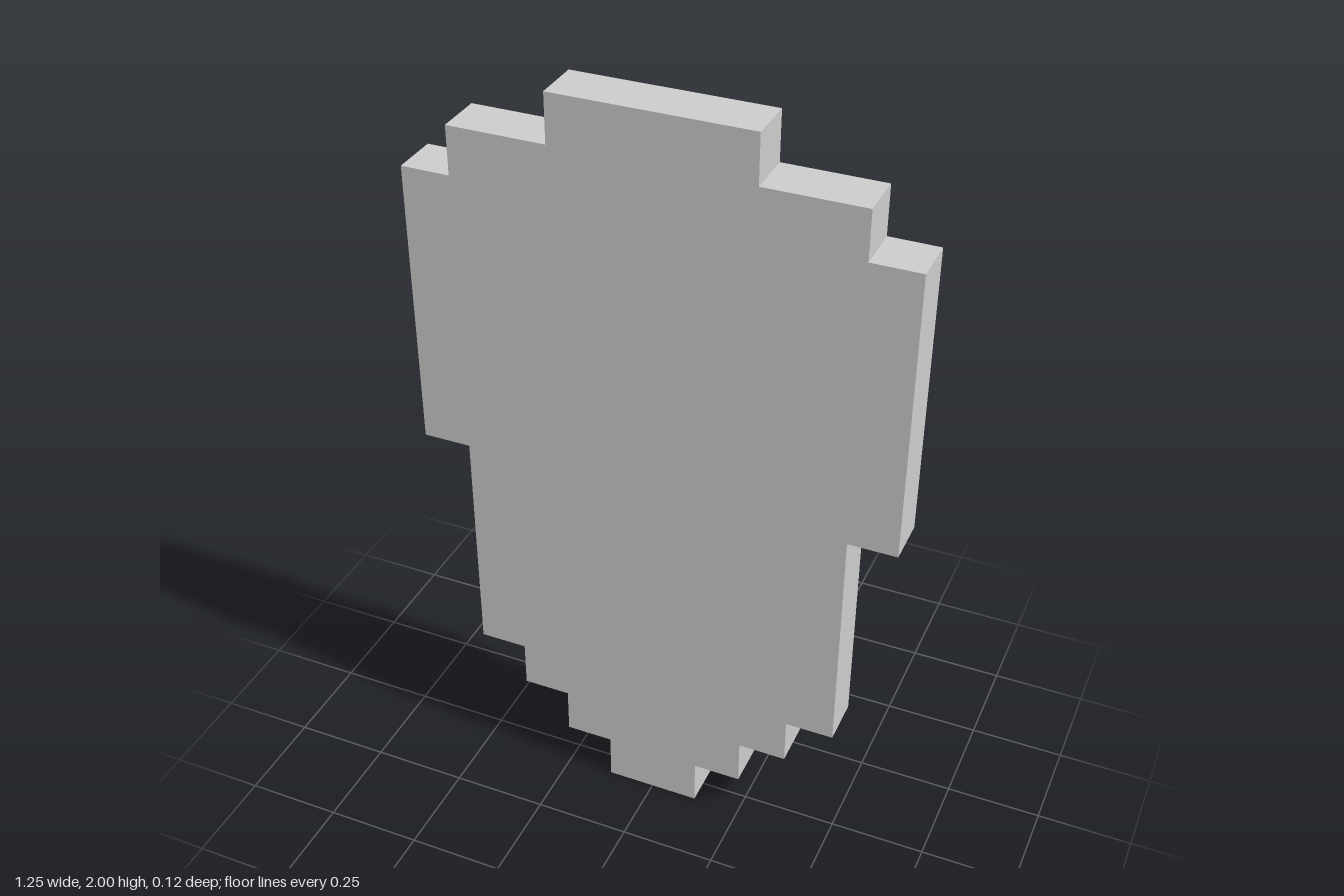
import * as THREE from 'three';

const UNIT = 0.125; // one step of the outline, also the thickness

// Tiers from bottom to top: [half width, top height] in units
const TIERS = [[1, 1], [2, 2], [3, 3], [4, 8], [5, 14], [4, 15], [2, 16]];

export function createModel() {
  const group = new THREE.Group();
  group.name = 'steppedPlate';

  // Right-hand stepped edge going up, then mirrored going down
  const edge = [];
  let bottom = 0;
  for (const [half, top] of TIERS) {
    edge.push([half, bottom], [half, top]);
    bottom = top;
  }
  const mirrored = edge.map(([x, y]) => [-x, y]).reverse();
  const outline = [...edge, ...mirrored].map(([x, y]) => new THREE.Vector2(x * UNIT, y * UNIT));

  // Flat slab with sharp edges, centred on z = 0
  const geometry = new THREE.ExtrudeGeometry(new THREE.Shape(outline), { depth: UNIT, bevelEnabled: false });
  geometry.translate(0, 0, -UNIT / 2);

  const material = new THREE.MeshStandardMaterial({ color: 0xcccccc, flatShading: true });
  const plate = new THREE.Mesh(geometry, material);
  plate.name = 'plate';
  group.add(plate);
  return group;
}
